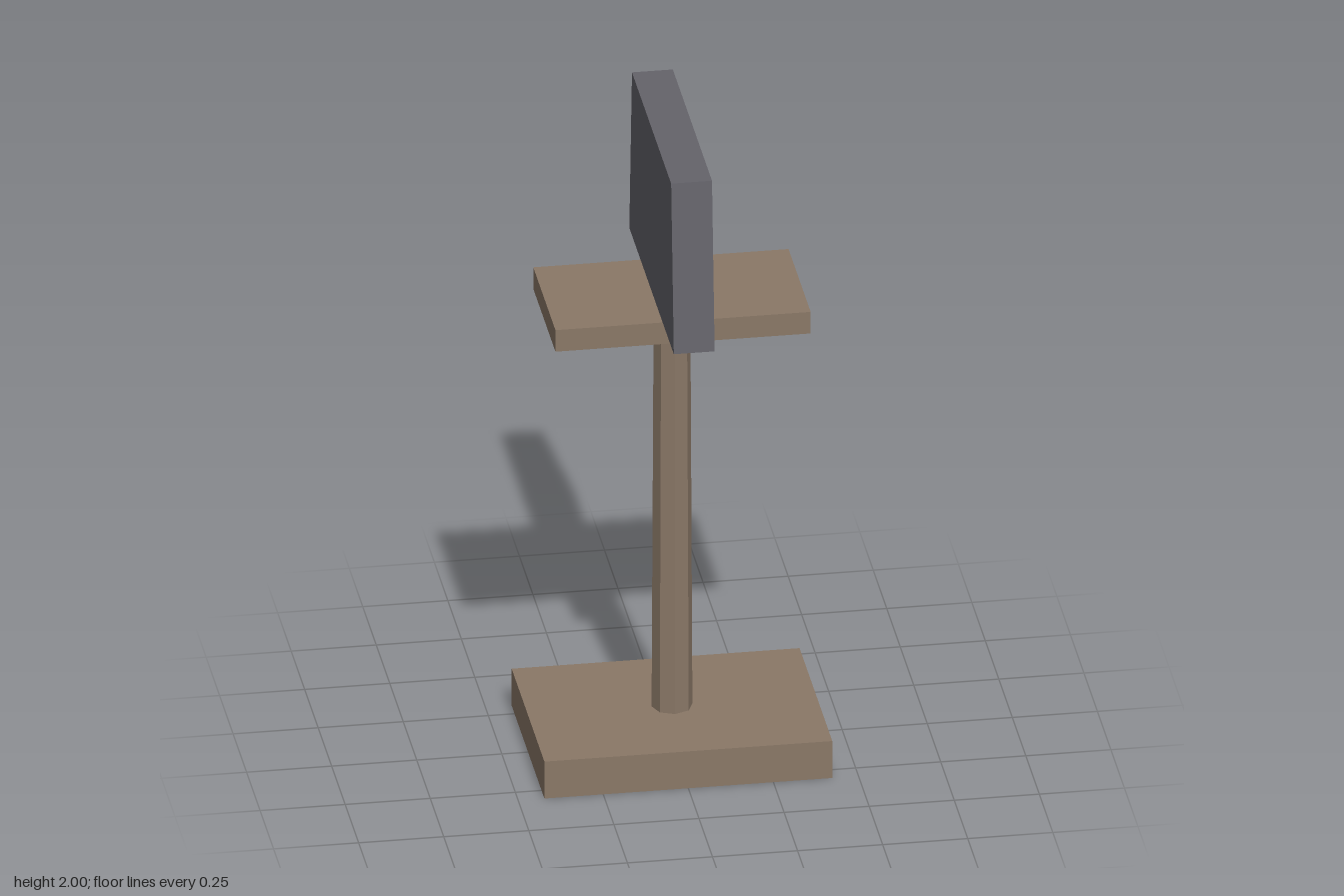
import * as THREE from 'three';

export function createModel() {
  const group = new THREE.Group();
  const wood = new THREE.MeshStandardMaterial({ color: 0x8a7867, flatShading: true });
  wood.name = 'brown wood';
  const slate = new THREE.MeshStandardMaterial({ color: 0x64636a, flatShading: true });
  slate.name = 'slate grey';

  const add = (name, geometry, material, y) => {
    const mesh = new THREE.Mesh(geometry, material);
    mesh.name = name;
    mesh.position.y = y;
    group.add(mesh);
  };

  // Stand: foot, slightly tapered eight-sided post, and shelf
  add('base', new THREE.BoxGeometry(0.846, 0.12, 0.606), wood, 0.06);
  add('post', new THREE.CylinderGeometry(0.054, 0.06, 1.28, 8), wood, 0.76);
  add('shelf', new THREE.BoxGeometry(0.75, 0.07, 0.41), wood, 1.435);

  // Upright panel, narrower at the top
  const panel = new THREE.BoxGeometry(0.12, 0.53, 0.824);
  const p = panel.attributes.position;
  for (let i = 0; i < p.count; i++) {
    if (p.getY(i) > 0) p.setZ(i, Math.sign(p.getZ(i)) * 0.363);
  }
  panel.computeVertexNormals();
  add('panel', panel, slate, 1.735);

  return group;
}
